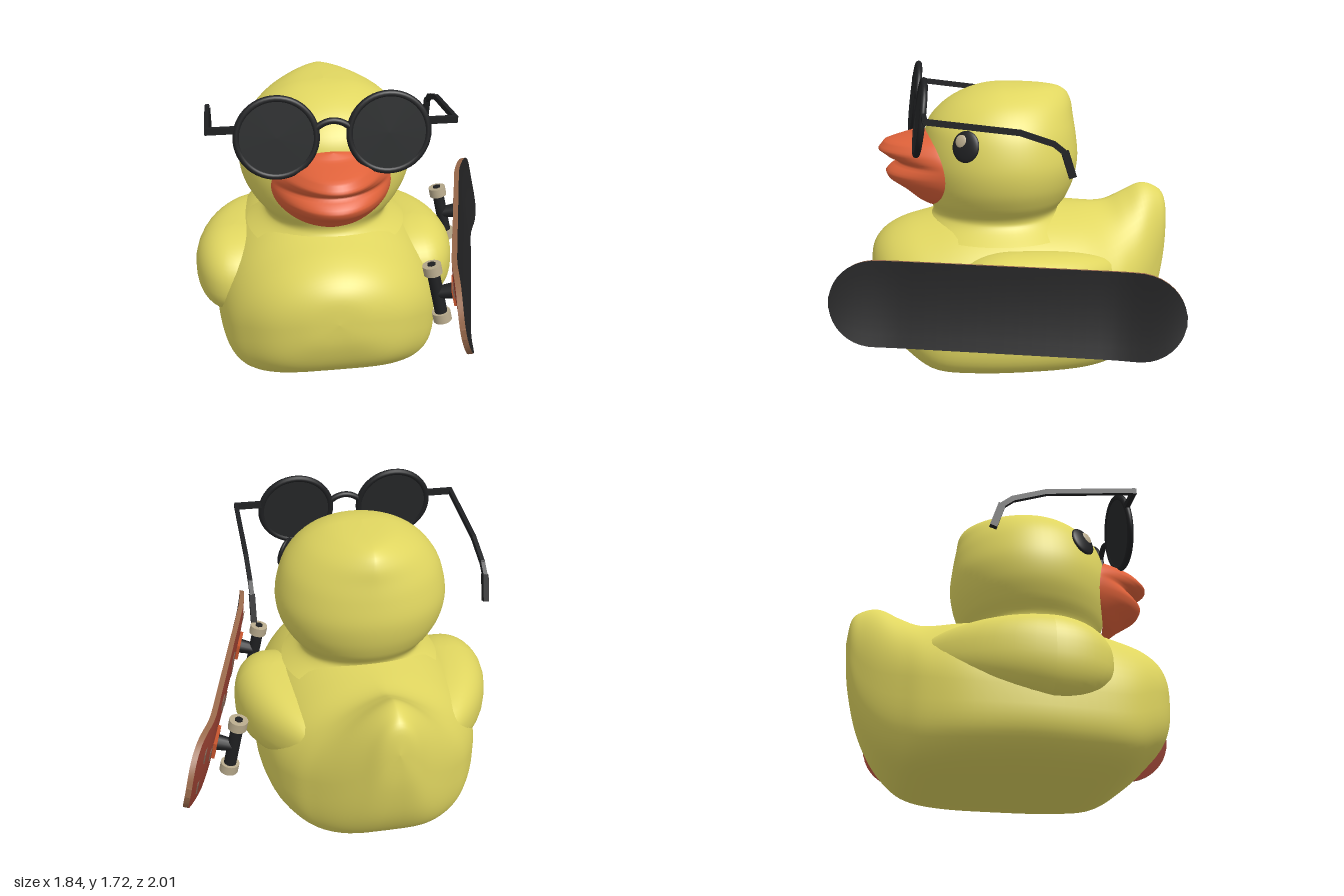
import * as THREE from 'three';

const paint = (name, hex) => Object.assign(new THREE.MeshStandardMaterial({ color: hex }), { name });
const spow = (v, p) => Math.sign(v) * Math.abs(v) ** p;

// Smooth sample of a table of rows, t from 0 to 1
function sample(rows, t) {
  const n = rows.length - 1, f = t * n, i = Math.min(Math.floor(f), n - 1), k = f - i;
  const row = j => rows[THREE.MathUtils.clamp(j, 0, n)];
  return rows[0].map((_, c) => {
    const [a, b, d, e] = [row(i - 1)[c], row(i)[c], row(i + 1)[c], row(i + 2)[c]];
    return b + 0.5 * k * (d - a + k * (2 * a - 5 * b + 4 * d - e + k * (3 * (b - d) + e - a)));
  });
}

// Linear lookup by the first column
function lookup(rows, key) {
  let i = 0;
  while (i < rows.length - 2 && rows[i + 1][0] < key) i++;
  const k = THREE.MathUtils.clamp((key - rows[i][0]) / (rows[i + 1][0] - rows[i][0]), 0, 1);
  return rows[i].map((v, c) => v + (rows[i + 1][c] - v) * k);
}

// Surface over a grid; closed joins the last column to the first
function surface(nu, nv, closed, point) {
  const pos = [], idx = [], cols = closed ? nv : nv + 1;
  for (let i = 0; i <= nu; i++) for (let j = 0; j < cols; j++) pos.push(...point(i / nu, j / nv));
  for (let i = 0; i < nu; i++) for (let j = 0; j < nv; j++) {
    const a = i * cols + j, b = i * cols + (j + 1) % cols;
    idx.push(a, a + cols, b, b, a + cols, b + cols);
  }
  const g = new THREE.BufferGeometry();
  g.setAttribute('position', new THREE.Float32BufferAttribute(pos, 3));
  g.setIndex(idx);
  g.computeVertexNormals();
  return g;
}

// z, half width, bottom, middle, top, taper of the upper half
const BODY = [
  [0.77, 0, 0.55, 0.55, 0.55, 1], [0.755, 0.17, 0.4, 0.54, 0.69, 1], [0.69, 0.34, 0.24, 0.5, 0.78, 1],
  [0.58, 0.47, 0.13, 0.45, 0.84, 1], [0.43, 0.57, 0.04, 0.38, 0.88, 1], [0.2, 0.62, 0.02, 0.36, 0.93, 1],
  [-0.1, 0.635, 0.015, 0.36, 0.94, 1], [-0.4, 0.59, 0.005, 0.38, 0.92, 1.1], [-0.6, 0.5, 0.012, 0.42, 0.92, 1.4],
  [-0.72, 0.4, 0.06, 0.46, 0.97, 1.5], [-0.83, 0.29, 0.17, 0.52, 1.02, 1.4], [-0.92, 0.18, 0.34, 0.62, 1.0, 1.2],
  [-0.98, 0.09, 0.58, 0.75, 0.94, 1], [-1, 0, 0.8, 0.8, 0.8, 1],
];
// y, half width, front z, back z, sharpness of the back
const HEAD = [
  [0.8, 0.45, 0.48, -0.45, 1], [0.87, 0.36, 0.42, -0.36, 1], [0.92, 0.35, 0.4, -0.33, 1], [1, 0.41, 0.43, -0.38, 1],
  [1.1, 0.46, 0.45, -0.42, 1], [1.22, 0.478, 0.46, -0.44, 1], [1.35, 0.455, 0.445, -0.43, 1.05],
  [1.45, 0.41, 0.41, -0.415, 1.15], [1.54, 0.33, 0.32, -0.4, 1.3], [1.6, 0.23, 0.21, -0.36, 1.4],
  [1.63, 0.13, 0.1, -0.27, 1.3], [1.64, 0, 0, -0.02, 1],
];
// y, front z of the bill
const BILL = [[0.955, 0.42], [0.99, 0.48], [1.05, 0.55], [1.11, 0.64], [1.15, 0.66], [1.18, 0.63], [1.21, 0.58],
  [1.24, 0.645], [1.28, 0.7], [1.33, 0.66], [1.355, 0.57], [1.37, 0.5], [1.402, 0.45]];
const HEAD_X = -0.145, BODY_X = -0.155;
const headRows = Array.from({ length: 61 }, (_, i) => sample(HEAD, i / 60));
const headZ = (x, y) => {
  const [, w, f] = lookup(headRows, y);
  return f * Math.sqrt(Math.max(0, 1 - (x / w) ** 2));
};

export function createModel() {
  const yellow = paint('duck yellow', 0xe0d660), orange = paint('beak orange', 0xe0623a);
  const frame = paint('frame black', 0x1f2022), lens = paint('lens black', 0x262829);
  const grip = paint('grip black', 0x232324), wood = paint('deck wood', 0x9a6a4c);
  const red = paint('deck red', 0xa04434), patchy = paint('worn patch', 0x7c5f50);
  const tan = paint('wheel tan', 0xb8aa8c), plate = paint('truck orange', 0xc4532c);
  const model = new THREE.Group();
  const add = (parent, name, geo, mat, x = 0, y = 0, z = 0) => {
    const m = new THREE.Mesh(geo, mat);
    m.name = name;
    m.position.set(x, y, z);
    parent.add(m);
    return m;
  };
  const group = (name, parent = model) => {
    const g = new THREE.Group();
    g.name = name;
    parent.add(g);
    return g;
  };

  // Body with a flat base and raised tail
  const duck = group('duck');
  add(duck, 'body', surface(64, 64, true, (u, v) => {
    const [z, w, yb, ym, yt, p] = sample(BODY, u), a = v * Math.PI * 2, c = Math.cos(a), s = Math.sin(a);
    return s >= 0 ? [w * spow(c, p), ym + (yt - ym) * s, z]
      : [w * spow(c, 0.5), ym + (ym - yb) * spow(s, 0.55), z];
  }), yellow, BODY_X);

  // Wings, blunt in front and tapering into the back
  for (const s of [1, -1]) {
    const g = new THREE.SphereGeometry(1, 40, 28), p = g.attributes.position;
    for (let i = 0; i < p.count; i++) {
      const x = p.getX(i), y = p.getY(i), z = p.getZ(i), t = Math.max(0, -z);
      p.setXYZ(i, spow(x, 0.85) * 0.23 * (1 - 0.2 * t) + s * (0.515 - 0.2 * t * t),
        spow(y, 0.85) * 0.245 * (1 - 0.2 * t) + 0.05 * t, z * (z < 0 ? 0.65 : 0.34));
    }
    g.computeVertexNormals();
    add(duck, s > 0 ? 'leftWing' : 'rightWing', g, yellow, BODY_X, 0.535, 0);
  }

  // Head with neck and a crest at the back
  add(duck, 'head', surface(60, 64, true, (u, v) => {
    const [y, w, f, b, p] = sample(HEAD, u), a = v * Math.PI * 2, c = Math.cos(a), s = Math.sin(a);
    return s >= 0 ? [w * c, y, f * s] : [w * spow(c, p), y, -b * s];
  }), yellow, HEAD_X);

  // Beak: oval patch on the head swelling into two lips
  add(duck, 'beak', surface(56, 40, false, (u, v) => {
    const y = 0.955 + 0.447 * (0.5 - 0.5 * Math.cos(u * Math.PI));
    const w = 0.32 * Math.sqrt(Math.max(0, 1 - ((y - 1.1785) / 0.2235) ** 2));
    const k = Math.cos(v * Math.PI), x = w * k;
    const bulge = Math.max(0, lookup(BILL, y)[1] - headZ(0, y));
    return [x, y, headZ(x, y) + 0.012 + bulge * (1 - k * k) ** 0.8];
  }), orange, HEAD_X);

  // Eyes
  for (const s of [1, -1]) {
    const eye = group(s > 0 ? 'leftEye' : 'rightEye', duck);
    eye.position.set(HEAD_X + s * 0.387, 1.365, 0.24);
    eye.rotation.set(-0.25, s * 1.0, 0, 'YXZ');
    add(eye, 'eyeDisc', new THREE.SphereGeometry(1, 28, 16), frame).scale.set(0.08, 0.087, 0.022);
    add(eye, 'eyeGlint', new THREE.SphereGeometry(1, 20, 12), tan, s * -0.022, 0.025, 0.014).scale.set(0.036, 0.038, 0.012);
  }

  // Sunglasses
  const glasses = group('sunglasses');
  glasses.position.x = -0.147;
  const bar = (name, a, b, size) => {
    const from = new THREE.Vector3(...a), to = new THREE.Vector3(...b);
    const m = add(glasses, name, new THREE.BoxGeometry(size * 0.75, size, from.distanceTo(to) + size * 0.4), frame);
    m.position.copy(from).lerp(to, 0.5);
    m.lookAt(to.clone().add(new THREE.Vector3(glasses.position.x, 0, 0)));
  };
  const temple = [[1.56, 0.47], [1.49, -0.02], [1.425, -0.2], [1.375, -0.26], [1.25, -0.3]];
  for (const s of [1, -1]) {
    const rim = group(s > 0 ? 'leftLens' : 'rightLens', glasses);
    rim.position.set(s * 0.287, 1.51, 0.48);
    rim.rotation.x = -0.14;
    add(rim, 'rim', new THREE.TorusGeometry(0.202, 0.018, 12, 48), frame);
    add(rim, 'lens', new THREE.CylinderGeometry(0.2, 0.2, 0.022, 48).rotateX(Math.PI / 2), lens);
    bar('hinge', [s * 0.49, 1.56, 0.47], [s * 0.635, 1.56, 0.47], 0.034);
    for (let i = 0; i < 4; i++)
      bar('temple', [s * 0.633, ...temple[i]], [s * 0.633, ...temple[i + 1]], i === 3 ? 0.04 : 0.03);
  }
  const bridge = new THREE.QuadraticBezierCurve3(new THREE.Vector3(-0.085, 1.55, 0.475),
    new THREE.Vector3(0, 1.62, 0.47), new THREE.Vector3(0.085, 1.55, 0.475));
  add(glasses, 'bridge', new THREE.TubeGeometry(bridge, 16, 0.017, 10), frame);

  // Skateboard leaning on its edge: length on z, width on y, grip on +x
  const board = group('skateboard');
  board.position.set(0.642, 0.575, 0.075);
  board.rotation.set(-0.012, -0.231, 0.21, 'YXZ');
  const half = 0.945, width = 0.233;
  const kick = z => (z < 0 ? 0.055 : 0.03) * THREE.MathUtils.smoothstep(Math.abs(z), 0.55, half);
  const deck = new THREE.BoxGeometry(0.03, 2, 2, 1, 8, 40), dp = deck.attributes.position;
  for (let i = 0; i < dp.count; i++) {
    const z = half * Math.sin(dp.getZ(i) * Math.PI / 2), y = dp.getY(i);
    const d = Math.min(1, (half - Math.abs(z)) / 0.25);
    const w = Math.max(0.03, width * Math.sqrt(1 - (1 - d) ** 2));
    dp.setXYZ(i, dp.getX(i) + kick(z) + 0.015 * (y * w / width) ** 2, y * w, z);
  }
  deck.computeVertexNormals();
  add(board, 'deck', deck, [grip, red, wood, wood, wood, wood]);

  // Worn patches under the deck
  for (const [y, z] of [[0.1, -0.74], [-0.08, -0.78], [0.02, -0.62], [-0.13, -0.35], [0.13, -0.3], [0, -0.15],
    [-0.1, 0.05], [0.12, 0.15], [-0.05, 0.28], [0.1, 0.66], [-0.1, 0.72]])
    add(board, 'wornPatch', new THREE.BoxGeometry(0.006, 0.06, 0.07), patchy, -0.014 + kick(z), y, z);

  // Trucks and wheels
  for (const s of [1, -1]) {
    const truck = group(s > 0 ? 'frontTruck' : 'rearTruck', board);
    truck.position.z = s * 0.49;
    add(truck, 'basePlate', new THREE.BoxGeometry(0.02, 0.1, 0.17), plate, -0.022);
    add(truck, 'kingpin', new THREE.CylinderGeometry(0.035, 0.045, 0.09, 12).rotateZ(Math.PI / 2), frame, -0.07);
    add(truck, 'hanger', new THREE.CylinderGeometry(0.035, 0.035, 0.25, 14), frame, -0.12);
    for (const e of [1, -1]) {
      add(truck, 'wheel', new THREE.CylinderGeometry(0.052, 0.052, 0.055, 24), tan, -0.12, e * 0.15);
      add(truck, 'axleNut', new THREE.CylinderGeometry(0.024, 0.024, 0.008, 6), frame, -0.12, e * 0.18);
    }
  }
  return model;
}
